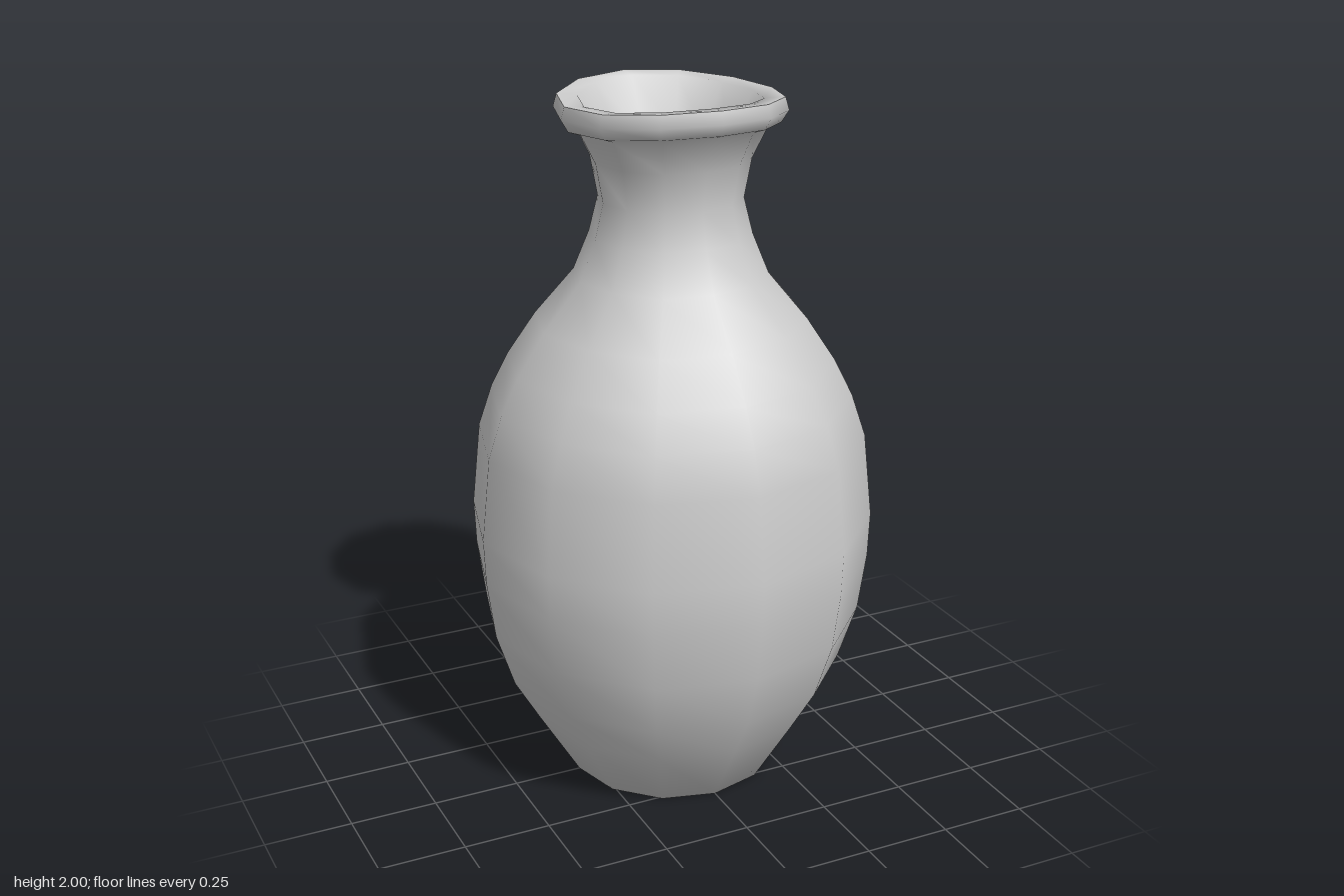
import * as THREE from 'three';

const SIDES = 12;

// Outer wall, from the centre of the base up to the lip
const OUTER = [
  [0, 0], [0.3, 0], [0.42, 0.2], [0.495, 0.33], [0.547, 0.49], [0.57, 0.66],
  [0.575, 0.79], [0.55, 1.03], [0.51, 1.15], [0.46, 1.25], [0.38, 1.37],
  [0.27, 1.5], [0.225, 1.61], [0.2, 1.71], [0.22, 1.82], [0.262, 1.91],
  [0.297, 1.922], [0.317, 1.955], [0.307, 1.99],
];

// Rim and hollow inside, from the lip down to the floor
const INNER = [
  [0.307, 1.99], [0.25, 1.985], [0.17, 1.85], [0.135, 1.71], [0.165, 1.58],
  [0.31, 1.37], [0.44, 1.15], [0.51, 0.8], [0.48, 0.48], [0.36, 0.2],
  [0.25, 0.07], [0, 0.06],
];

// Raise the lip slightly at front and back, lower it at the sides
function waveLip(geometry) {
  const pos = geometry.attributes.position;
  for (let i = 0; i < pos.count; i++) {
    const x = pos.getX(i), y = pos.getY(i), z = pos.getZ(i);
    const r2 = x * x + z * z;
    if (r2 < 1e-6) continue;
    const weight = THREE.MathUtils.smoothstep(y, 1.8, 1.93);
    pos.setY(i, y + 0.01 * weight * (z * z - x * x) / r2);
  }
  return geometry;
}

function turned(name, profile, material) {
  const points = profile.map(([r, y]) => new THREE.Vector2(r, y));
  const mesh = new THREE.Mesh(waveLip(new THREE.LatheGeometry(points, SIDES)), material);
  mesh.name = name;
  return mesh;
}

export function createModel() {
  const clay = new THREE.MeshStandardMaterial({ color: 0xcccccc });
  clay.name = 'pale grey clay';

  const vase = new THREE.Group();
  vase.name = 'vase';
  vase.add(turned('outerWall', OUTER, clay));
  vase.add(turned('rimAndHollow', INNER, clay));
  return vase;
}
